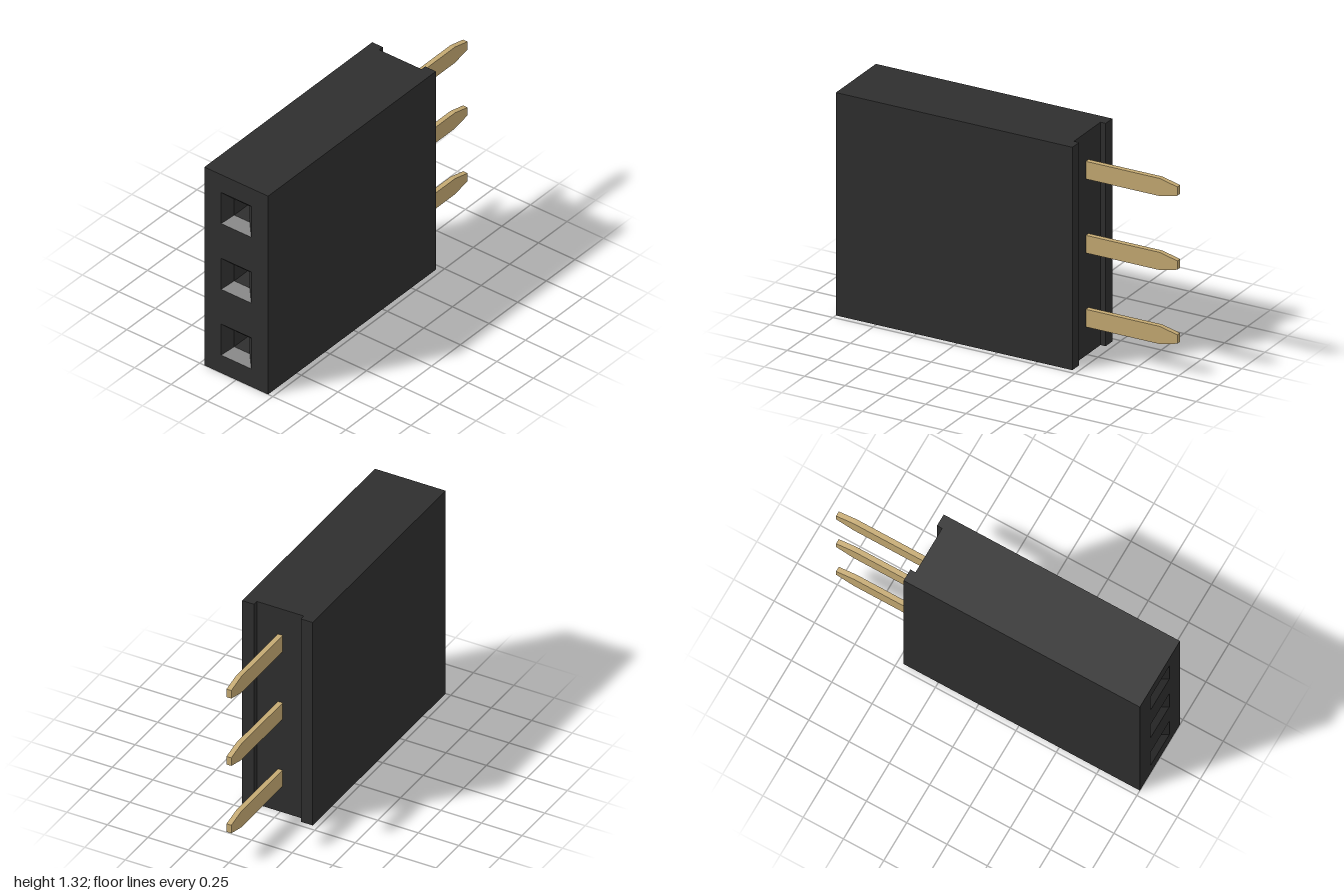
import * as THREE from 'three';

const W = 0.436, H = 1.315, FRONT = 1, BACK = -0.465;
const RECESS = -0.433, FLOOR = -0.4, FUNNEL = 0.05;
const OUTER = 0.206, INNER = 0.106;
const rows = [0.221, 0.6575, 1.094];

const plastic = new THREE.MeshStandardMaterial({ color: 0x2e2e2e });
plastic.name = 'black plastic';
const brass = new THREE.MeshStandardMaterial({ color: 0xc4a972 });
brass.name = 'pale brass';

function add(parent, name, geometry, material) {
  const mesh = new THREE.Mesh(geometry, material);
  mesh.name = name;
  parent.add(mesh);
  return mesh;
}

// Rectangular slab from z0 to z1, with a square hole in each row
function slab(hole, z0, z1) {
  const s = new THREE.Shape([
    new THREE.Vector2(-W / 2, 0), new THREE.Vector2(W / 2, 0),
    new THREE.Vector2(W / 2, H), new THREE.Vector2(-W / 2, H),
  ]);
  const h = hole / 2;
  for (const y of rows) {
    s.holes.push(new THREE.Path([
      new THREE.Vector2(-h, y - h), new THREE.Vector2(-h, y + h),
      new THREE.Vector2(h, y + h), new THREE.Vector2(h, y - h),
    ]));
  }
  return new THREE.ExtrudeGeometry(s, { depth: z1 - z0, bevelEnabled: false }).translate(0, 0, z0);
}

// Four sloping faces that look into the opening
function funnelGeometry() {
  const g = new THREE.CylinderGeometry(OUTER * Math.SQRT1_2, INNER * Math.SQRT1_2, FUNNEL, 4, 1, true)
    .rotateY(Math.PI / 4).rotateX(Math.PI / 2).toNonIndexed();
  const p = g.attributes.position;
  const a = new THREE.Vector3(), b = new THREE.Vector3();
  // swap two corners of each triangle to turn the faces inward
  for (let i = 0; i < p.count; i += 3) {
    a.fromBufferAttribute(p, i + 1);
    b.fromBufferAttribute(p, i + 2);
    p.setXYZ(i + 1, b.x, b.y, b.z);
    p.setXYZ(i + 2, a.x, a.y, a.z);
  }
  g.computeVertexNormals();
  return g;
}

// Flat pin with a tapered tail; profile is (-z, y), extruded across x
function pinGeometry() {
  const h = 0.052, tip = 0.026, t = 0.03;
  const s = new THREE.Shape([
    new THREE.Vector2(-0.5, -h), new THREE.Vector2(0.89, -h),
    new THREE.Vector2(1, -tip), new THREE.Vector2(1, tip),
    new THREE.Vector2(0.89, h), new THREE.Vector2(-0.5, h),
  ]);
  return new THREE.ExtrudeGeometry(s, { depth: t, bevelEnabled: false })
    .translate(0, 0, -t / 2).rotateY(Math.PI / 2);
}

export function createModel() {
  const model = new THREE.Group();
  model.name = 'pinSocket';

  // Housing: front face, hollow body and closed back
  const housing = new THREE.Group();
  housing.name = 'housing';
  model.add(housing);
  add(housing, 'frontFace', slab(OUTER, FRONT - FUNNEL, FRONT), plastic);
  add(housing, 'body', slab(INNER, FLOOR, FRONT - FUNNEL), plastic);
  add(housing, 'backWall', new THREE.BoxGeometry(W, H, FLOOR - RECESS), plastic)
    .position.set(0, H / 2, (FLOOR + RECESS) / 2);

  // Rails on both sides of the rear channel
  const railW = 0.073;
  for (const side of [-1, 1]) {
    add(housing, side > 0 ? 'leftRail' : 'rightRail',
      new THREE.BoxGeometry(railW, H, RECESS - BACK), plastic)
      .position.set(side * (W - railW) / 2, H / 2, (RECESS + BACK) / 2);
  }

  // Lead-in funnels and pins
  const funnel = funnelGeometry(), pin = pinGeometry();
  rows.forEach((y, i) => {
    add(housing, `funnel${i + 1}`, funnel, plastic).position.set(0, y, FRONT - FUNNEL / 2);
    add(model, `pin${i + 1}`, pin, brass).position.y = y;
  });
  return model;
}
